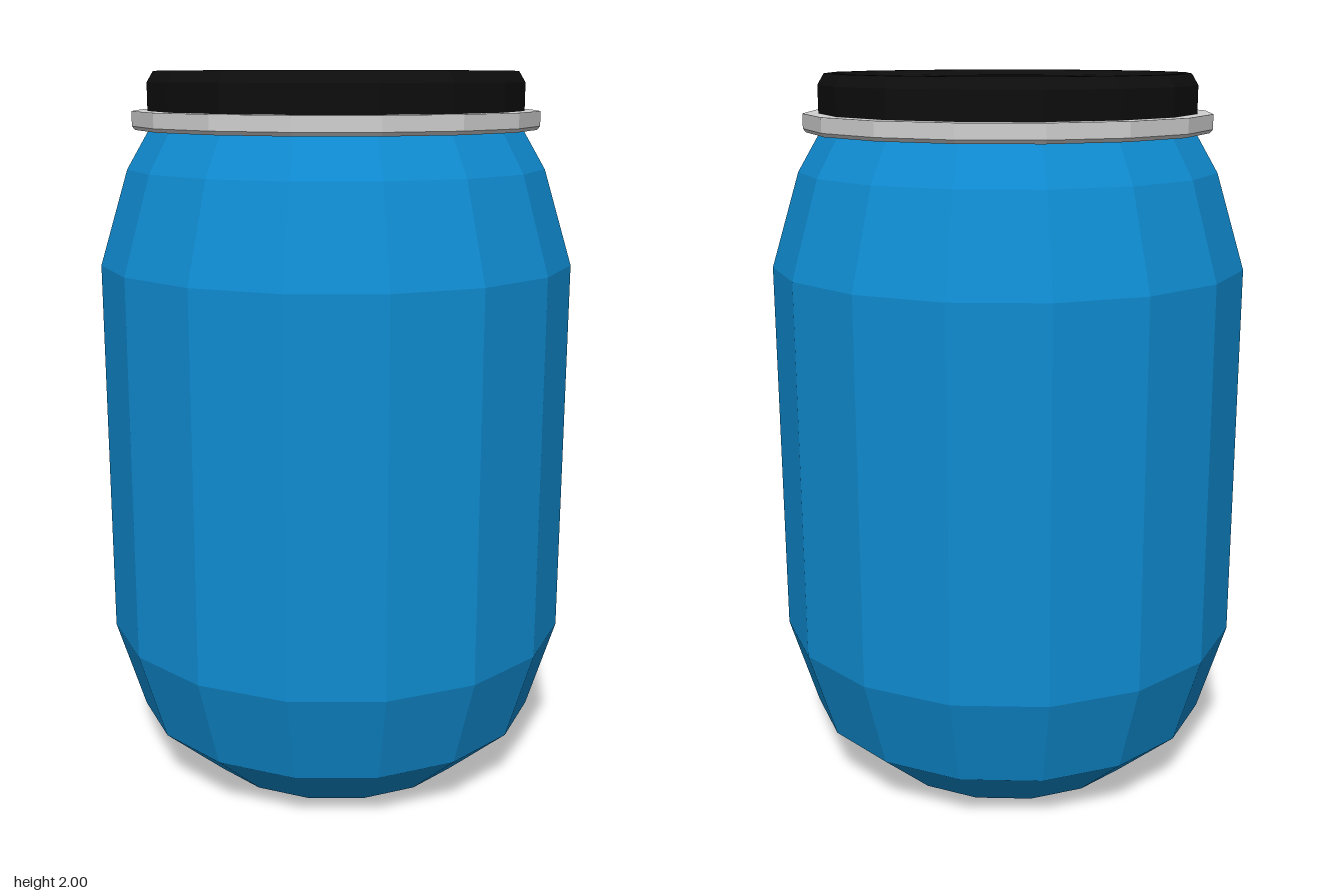
import * as THREE from 'three';

const SIDES = 16;

const material = (name, color) => {
  const m = new THREE.MeshStandardMaterial({ color });
  m.name = name;
  return m;
};

// Faceted solid of revolution from [radius, height] pairs, listed bottom to top
function turned(name, profile, mat) {
  const points = profile.map(([r, y]) => new THREE.Vector2(r, y));
  const geometry = new THREE.LatheGeometry(points, SIDES).toNonIndexed();
  geometry.computeVertexNormals();
  const mesh = new THREE.Mesh(geometry, mat);
  mesh.name = name;
  return mesh;
}

export function createModel() {
  const blue = material('blue plastic', 0x0f8bd0);
  const steel = material('light grey steel', 0xd0d0d0);
  const black = material('black plastic', 0x0d0d0d);

  const barrel = new THREE.Group();
  barrel.name = 'barrel';

  // Drum body with tapered base and shoulder
  barrel.add(turned('body', [
    [0, 0], [0.4, 0], [0.58, 0.16], [0.66, 0.42], [0.66, 1.48],
    [0.58, 1.74], [0.515, 1.85], [0.5, 1.87],
  ], blue));

  // Clamping ring around the neck, a closed band
  barrel.add(turned('clampRing', [
    [0.49, 1.845], [0.555, 1.845], [0.563, 1.855], [0.563, 1.895], [0.49, 1.895], [0.49, 1.845],
  ], steel));

  // Lid with a bevelled rim and a shallow stepped recess
  barrel.add(turned('lid', [
    [0.52, 1.88], [0.52, 1.97], [0.502, 2], [0.48, 2], [0.465, 1.985],
    [0.375, 1.985], [0.36, 1.975], [0, 1.975],
  ], black));

  return barrel;
}
